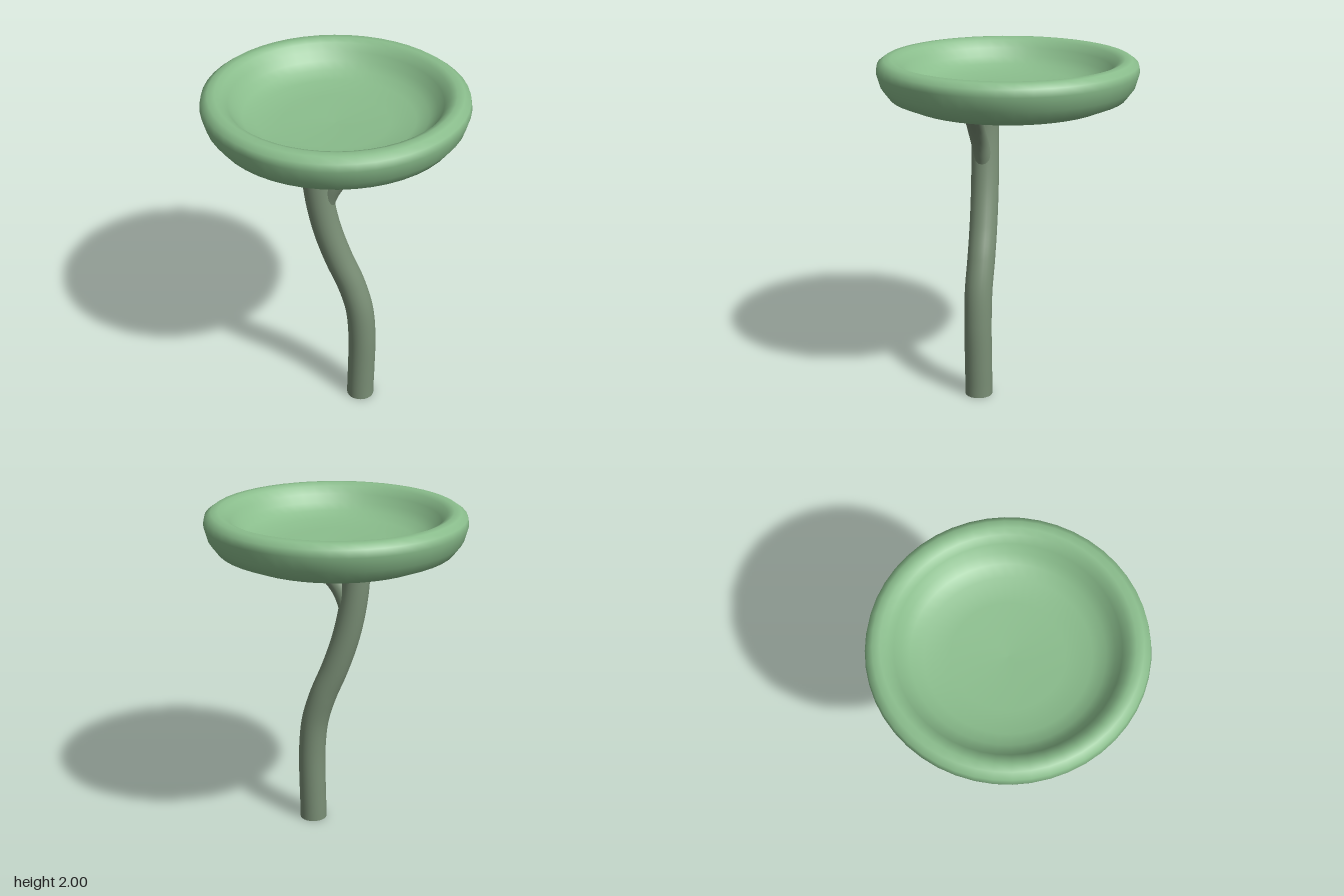
import * as THREE from 'three';

// Open-ended stalk swept along a smooth curve
function makeStalk(name, points, radius, material) {
  const curve = new THREE.CatmullRomCurve3(points.map((p) => new THREE.Vector3(...p)));
  const stalk = new THREE.Mesh(new THREE.TubeGeometry(curve, 48, radius, 24), material);
  stalk.name = name;
  return stalk;
}

export function createModel() {
  const model = new THREE.Group();
  model.name = 'dishOnStem';
  const leafGreen = new THREE.MeshStandardMaterial({ color: 0x8abd8c });
  leafGreen.name = 'leaf green';
  const stemGreen = new THREE.MeshStandardMaterial({ color: 0x7a8f76, side: THREE.DoubleSide });
  stemGreen.name = 'stem green';

  // Shallow dish: underside, thick rounded rim, then the hollow inside
  const profile = [
    [0, 1.722], [0.2, 1.722], [0.41, 1.728], [0.57, 1.748], [0.67, 1.79], [0.715, 1.85],
    [0.738, 1.93], [0.73, 1.972], [0.695, 1.997], [0.655, 2], [0.62, 1.985], [0.588, 1.945],
    [0.555, 1.9], [0.51, 1.862], [0.44, 1.832], [0.3, 1.812], [0, 1.803],
  ].map(([r, y]) => new THREE.Vector2(r, y));
  const dish = new THREE.Mesh(new THREE.LatheGeometry(profile, 48), leafGreen);
  dish.name = 'dish';
  model.add(dish);

  // Winding main stem, ending inside the dish's thickness
  model.add(makeStalk('stem', [
    [0.219, 0, 0.009], [0.219, 0.05, 0.009], [0.222, 0.2, 0.007], [0.224, 0.45, 0.007],
    [0.208, 0.65, 0.018], [0.166, 0.82, 0.045], [0.11, 1.0, 0.092], [0.062, 1.2, 0.136],
    [0.033, 1.4, 0.165], [0.022, 1.58, 0.178], [0.026, 1.77, 0.174],
  ], 0.081, stemGreen));

  // Thinner side branch leaning away to the back left
  model.add(makeStalk('branch', [
    [0.045, 1.29, 0.148], [0.068, 1.4, 0.14], [0.11, 1.5, 0.118],
    [0.178, 1.6, 0.062], [0.29, 1.72, -0.048], [0.325, 1.76, -0.085],
  ], 0.05, stemGreen));

  return model;
}
